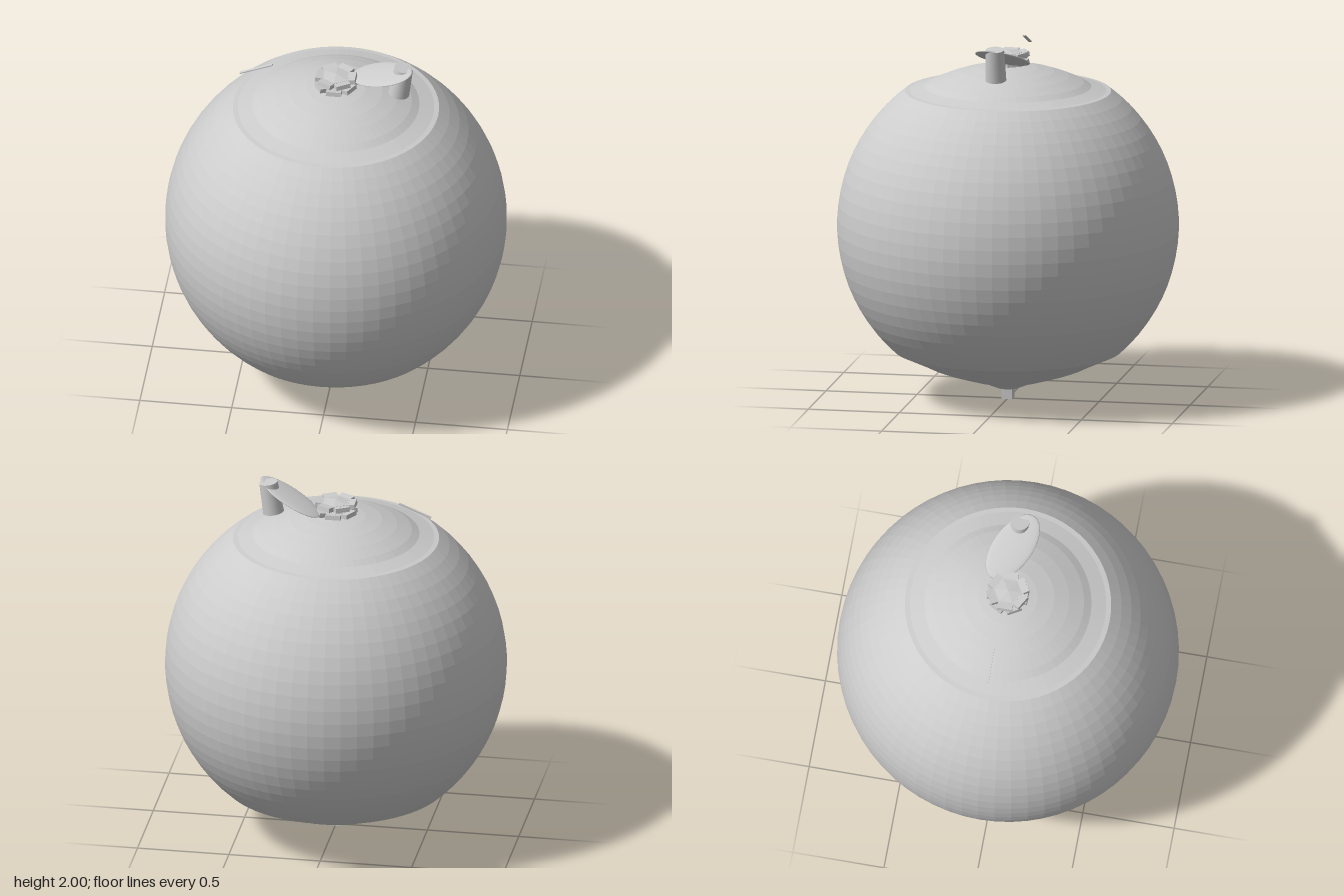
import * as THREE from 'three';

const grey = new THREE.MeshStandardMaterial({ color: 0xcccccc });
grey.name = 'plain grey';

// Split faces so that every facet is shaded flat
function faceted(geometry) {
  const g = geometry.index ? geometry.toNonIndexed() : geometry;
  g.computeVertexNormals();
  return g;
}

function addPart(parent, name, geometry, x = 0, y = 0, z = 0) {
  const mesh = new THREE.Mesh(geometry, grey);
  mesh.name = name;
  mesh.position.set(x, y, z);
  parent.add(mesh);
  return mesh;
}

// Round body with a shallow cap at the top and a flatter base with a small navel
function bodyGeometry() {
  const R = 0.922, cy = 0.957;
  const profile = [
    [0, 0.055], [0.06, 0.06], [0.1, 0.076], [0.115, 0.086], [0.19, 0.105],
    [0.27, 0.129], [0.35, 0.154], [0.42, 0.18], [0.5, 0.219],
  ];
  const start = Math.asin((0.272 - cy) / R), end = Math.asin((1.692 - cy) / R);
  const rows = 22;
  for (let i = 0; i <= rows; i++) {
    const a = start + (end - start) * i / rows;
    profile.push([R * Math.cos(a), cy + R * Math.sin(a)]);
  }
  profile.push([0.53, 1.695], [0.45, 1.717], [0.41, 1.74], [0.33, 1.774],
    [0.25, 1.801], [0.16, 1.822], [0.08, 1.833], [0, 1.836]);
  return faceted(new THREE.LatheGeometry(profile.map(([x, y]) => new THREE.Vector2(x, y)), 64));
}

// One ring of small blunt sepals, tipped up a little
function addSepals(parent, name, y, turn) {
  const ring = new THREE.Group();
  ring.name = name;
  ring.position.y = y;
  const count = 6;
  for (let i = 0; i < count; i++) {
    const arm = new THREE.Group();
    arm.rotation.y = turn + i * Math.PI * 2 / count;
    addPart(arm, 'sepal', new THREE.BoxGeometry(0.07, 0.025, 0.082), 0.074, 0, 0).rotation.z = 0.13;
    ring.add(arm);
  }
  addPart(ring, 'sepalDisc', faceted(new THREE.CylinderGeometry(0.08, 0.08, 0.026, 6)));
  parent.add(ring);
}

export function createModel() {
  const model = new THREE.Group();
  model.name = 'fruit';

  addPart(model, 'body', bodyGeometry());
  addPart(model, 'baseStub', new THREE.BoxGeometry(0.058, 0.08, 0.058), 0, 0.04, 0);

  // Two stacked sepal rings and a low centre
  addSepals(model, 'lowerSepals', 1.85, Math.PI / 6);
  addSepals(model, 'upperSepals', 1.893, 0);
  addPart(model, 'calyxCore', faceted(new THREE.CylinderGeometry(0.05, 0.06, 0.07, 8)), 0, 1.865, 0);
  addPart(model, 'calyxCone', faceted(new THREE.ConeGeometry(0.08, 0.012, 6)), 0, 1.911, 0);

  // Thin oval leaf, turned in its own plane and then lifted at the outer end
  const leafShape = new THREE.SphereGeometry(1, 32, 16);
  leafShape.scale(0.203, 0.014, 0.107);
  leafShape.rotateY(-0.46);
  addPart(model, 'leaf', leafShape, 0.247, 1.921, -0.018).rotation.z = 0.39;

  // Stalk beside the leaf
  addPart(model, 'stalk', new THREE.CylinderGeometry(0.05, 0.057, 0.175, 20),
    0.356, 1.905, 0).rotation.z = -0.16;

  // Loose thin sliver on the other side
  addPart(model, 'sliver', new THREE.BoxGeometry(0.19, 0.006, 0.016),
    -0.437, 1.892, -0.02).rotation.z = 0.38;

  return model;
}
